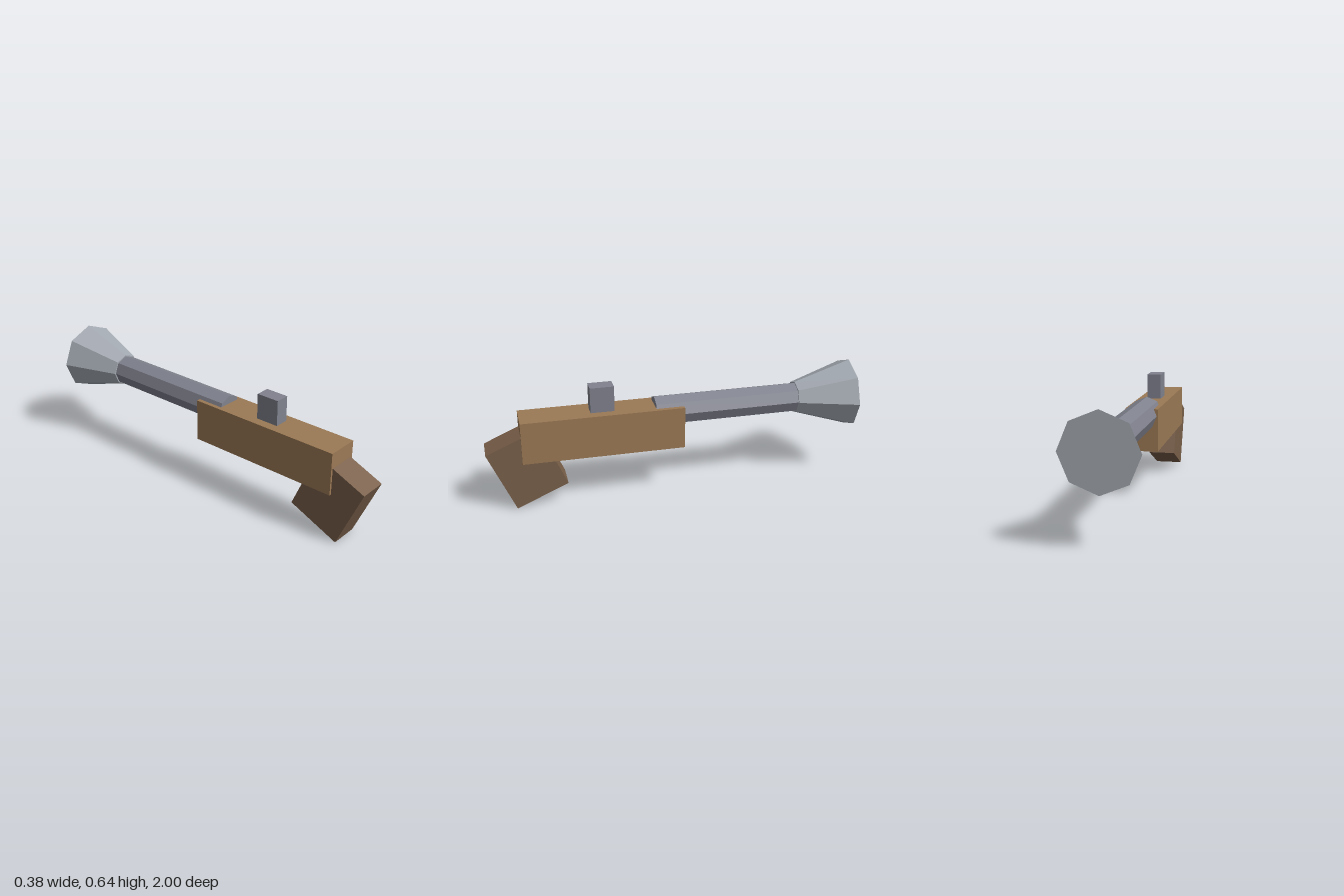
import * as THREE from 'three';

const material = (color) => new THREE.MeshStandardMaterial({ color, flatShading: true });

export function createModel() {
  const model = new THREE.Group();
  const wood = material(0x9c7a55);
  const darkWood = material(0x7a604a);
  const steel = material(0x80828e);
  const paleSteel = material(0xa4aab2);

  function add(name, geometry, mat, x, y, z, tilt = 0) {
    const mesh = new THREE.Mesh(geometry, mat);
    mesh.name = name;
    mesh.position.set(x, y, z);
    mesh.rotation.x = tilt;
    model.add(mesh);
  }

  // Eight-sided tube lying along z, from zBack to zFront (towards -z)
  function addTube(name, mat, rBack, rFront, zBack, zFront) {
    const geometry = new THREE.CylinderGeometry(rFront, rBack, zBack - zFront, 8);
    add(name, geometry, mat, 0, 0.457, (zBack + zFront) / 2, -Math.PI / 2);
  }

  // Wooden body and raked grip
  add('stock', new THREE.BoxGeometry(0.177, 0.231, 0.865), wood, 0, 0.38, 0.383);
  add('grip', new THREE.BoxGeometry(0.153, 0.356, 0.3), darkWood, 0, 0.226, 0.792, 0.405);

  // Barrel half sunk in the stock, with a flared muzzle
  addTube('barrel', steel, 0.082, 0.082, 0.1, -0.69);
  addTube('muzzle', paleSteel, 0.089, 0.191, -0.69, -1);

  // Upright block on top of the stock
  add('hammer', new THREE.BoxGeometry(0.077, 0.19, 0.127), steel, 0, 0.539, 0.382);

  return model;
}
